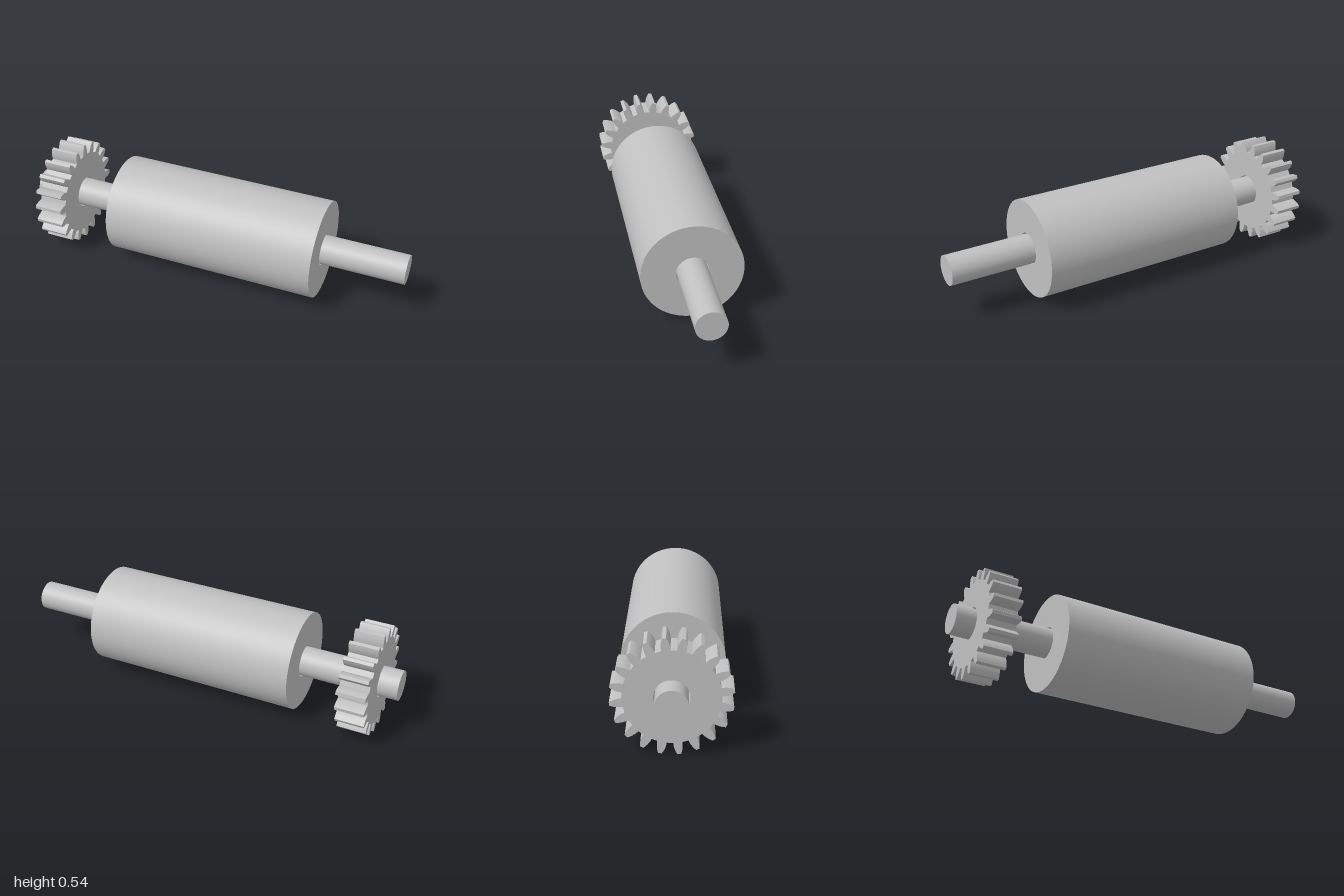
import * as THREE from 'three';
import { toCreasedNormals } from 'three/addons/utils/BufferGeometryUtils.js';

const AXIS_Y = 0.272;
const SHAFT_R = 0.074;
const BORE_R = 0.08;

// Extrudes a profile along x; the profile is drawn as seen from +x.
function extrudeAlongX(shape, x0, x1) {
  const bore = new THREE.Path();
  bore.absarc(0, 0, BORE_R, 0, Math.PI * 2, true);
  shape.holes.push(bore);
  const geometry = new THREE.ExtrudeGeometry(shape, {
    depth: x1 - x0, bevelEnabled: false, curveSegments: 64,
  });
  geometry.rotateY(Math.PI / 2);
  geometry.translate(x0, 0, 0);
  return toCreasedNormals(geometry, 0.4);
}

// Spur gear outline: curved flanks mirrored about each tooth's centre line.
function gearShape(teeth, firstAngle) {
  const flank = [[0.216, 5.3], [0.232, 4.9], [0.247, 4.0], [0.26, 2.9], [0.271, 1.75]];
  const outline = [...flank.map(([r, a]) => [r, -a]), ...flank.slice().reverse().map(([r, a]) => [r, a])];
  const points = [];
  for (let i = 0; i < teeth; i++) {
    const centre = firstAngle + (i * 360) / teeth;
    for (const [r, a] of outline) {
      const angle = THREE.MathUtils.degToRad(centre + a);
      points.push(new THREE.Vector2(r * Math.cos(angle), r * Math.sin(angle)));
    }
  }
  return new THREE.Shape(points);
}

export function createModel() {
  const model = new THREE.Group();
  model.name = 'rollerWithGear';
  const steel = new THREE.MeshStandardMaterial({ color: 0xc0c0c0 });
  steel.name = 'steelGrey';

  const add = (name, geometry) => {
    const mesh = new THREE.Mesh(geometry, steel);
    mesh.name = name;
    mesh.position.y = AXIS_Y;
    model.add(mesh);
  };

  // Shaft running the full length
  add('shaft', new THREE.CylinderGeometry(SHAFT_R, SHAFT_R, 2, 64).rotateZ(Math.PI / 2));

  // Hollow roller with a small clearance around the shaft
  const rollerShape = new THREE.Shape();
  rollerShape.absarc(0, 0, 0.246, 0, Math.PI * 2, false);
  add('roller', extrudeAlongX(rollerShape, -0.508, 0.577));

  // Twenty-tooth drive gear
  add('gear', extrudeAlongX(gearShape(20, 83.2), -0.903, -0.758));

  return model;
}
